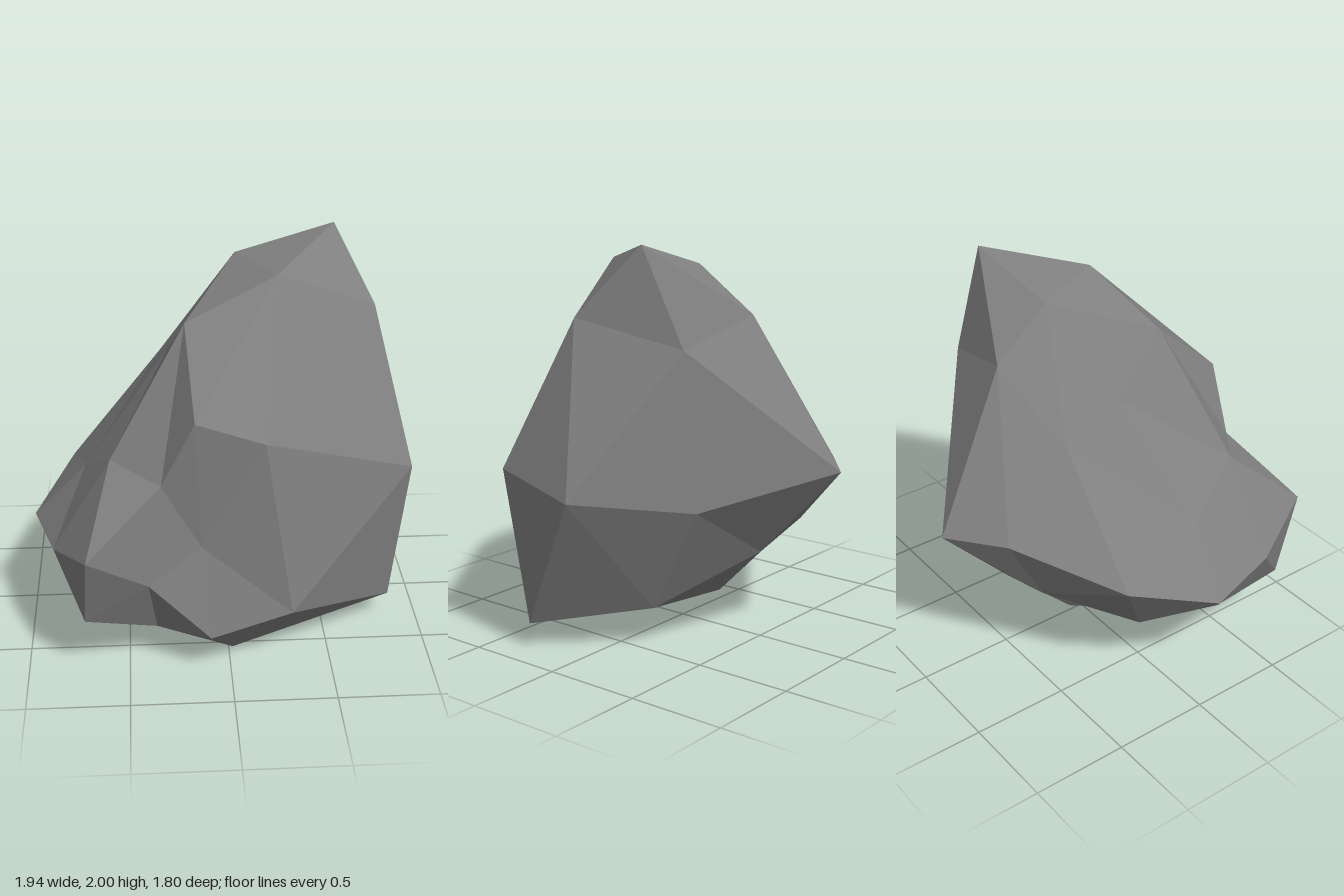
import * as THREE from 'three';

// Faceted boulder: a twenty-sided ball split once, seen as rings of 1, 5, 10, 10, 10, 5, 1
// corners from the peak down. Every ring runs front -> left (+x) -> back.
const peak = [0.57, 2, -0.21];
const shoulder = [
  [0.25, 1.89, 0.24], [0.75, 1.66, 0.05], [0.5, 1.52, -0.4], [0.04, 1.64, -0.465], [0.07, 1.87, -0.16],
];
const upper = [
  [-0.17, 1.35, 0.725], [0.16, 1.235, 0.72], [0.92, 0.92, 0.375], [0.97, 0.83, -0.08], [0.5, 0.75, -0.48],
  [-0.09, 0.9, -0.9], [-0.35, 0.9, -0.69], [-0.31, 1.29, -0.31], [-0.28, 1.43, 0.03], [-0.2, 1.69, 0.33],
];
const middle = [
  [-0.33, 1.02, 0.7], [-0.14, 0.69, 0.71], [0.3, 0.33, 0.75], [0.85, 0.13, 0.29], [0.47, 0.21, -0.19],
  [-0.01, 0.44, -0.49], [-0.35, 0.54, -0.5], [-0.78, 0.7, -0.3], [-0.7, 0.88, 0.18], [-0.57, 1.07, 0.51],
];
const lower = [
  [-0.4, 0.52, 0.77], [-0.1, 0.23, 0.8], [0.02, 0, 0.54], [0.16, 0.16, 0.16], [-0.11, 0.14, -0.16],
  [-0.26, 0.39, -0.18], [-0.64, 0.35, -0.11], [-0.97, 0.575, 0.12], [-0.86, 0.6, 0.53], [-0.69, 0.73, 0.9],
];
const foot = [
  [-0.36, 0.2, 0.63], [-0.16, 0.16, 0.26], [-0.35, 0.21, -0.01], [-0.78, 0.36, 0.29], [-0.71, 0.325, 0.76],
];
const base = [-0.46, 0.24, 0.38];

function boulderGeometry() {
  const positions = [];
  const tri = (a, b, c) => positions.push(...a, ...b, ...c);
  const at = (ring, i) => ring[i % ring.length];

  for (let i = 0; i < 5; i++) {
    const s0 = shoulder[i], s1 = at(shoulder, i + 1);
    const f0 = foot[i], f1 = at(foot, i + 1);
    const j = 2 * i;
    // Cap, and the band below it
    tri(peak, s0, s1);
    tri(s0, upper[j], upper[j + 1]);
    tri(s0, upper[j + 1], s1);
    tri(s1, upper[j + 1], at(upper, j + 2));
    // Underside band, and the bottom cap
    tri(lower[j], f0, lower[j + 1]);
    tri(lower[j + 1], f0, at(lower, j + 2));
    tri(at(lower, j + 2), f0, f1);
    tri(f0, base, f1);
  }
  // Two zigzag bands around the waist
  for (let j = 0; j < 10; j++) {
    const m0 = middle[j], m1 = at(middle, j + 1);
    tri(upper[j], m0, m1);
    tri(upper[j], m1, at(upper, j + 1));
    tri(m0, lower[j], m1);
    tri(m1, lower[j], at(lower, j + 1));
  }

  const geometry = new THREE.BufferGeometry();
  geometry.setAttribute('position', new THREE.Float32BufferAttribute(positions, 3));
  geometry.computeVertexNormals(); // unshared corners give flat facets
  return geometry;
}

export function createModel() {
  const stone = new THREE.MeshStandardMaterial({ color: 0x808080, flatShading: true });
  stone.name = 'grey stone';
  const boulder = new THREE.Mesh(boulderGeometry(), stone);
  boulder.name = 'boulder';
  const model = new THREE.Group();
  model.name = 'rock';
  model.add(boulder);
  return model;
}
